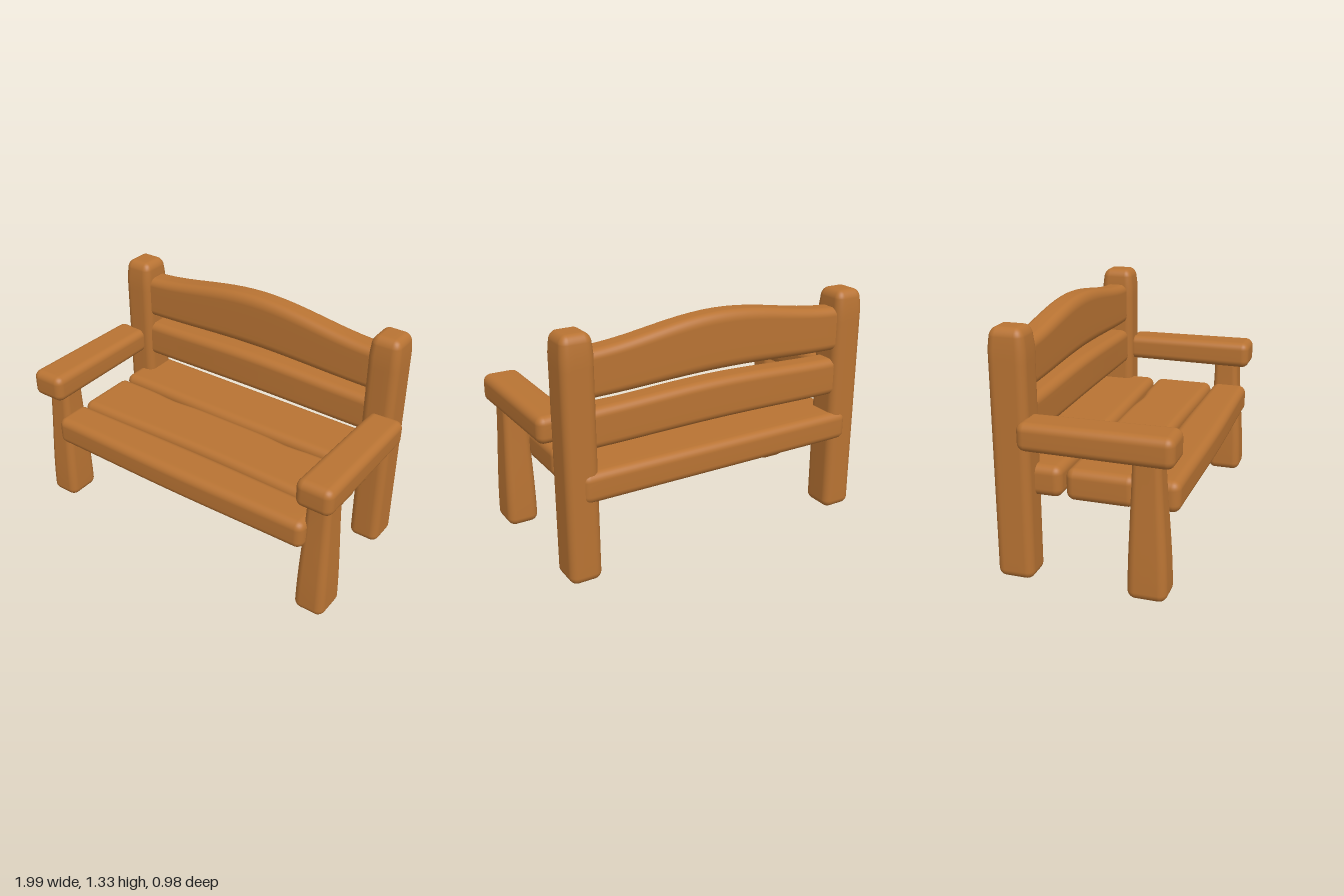
import * as THREE from 'three';
import { mergeVertices } from 'three/addons/utils/BufferGeometryUtils.js';

const wood = new THREE.MeshStandardMaterial({ color: 0xb87333 });
wood.name = 'warm wood';

// Grid position -> coordinate: dense in the rounded rims, even along the middle
function spread(t, n, half, r) {
  const k = 4, i = Math.round((t + 0.5) * n), inner = half - r;
  if (i <= k) return -inner - r * Math.tan((1 - i / k) * Math.PI / 4);
  if (i >= n - k) return inner + r * Math.tan((1 - (n - i) / k) * Math.PI / 4);
  return -inner + 2 * inner * (i - k) / (n - 2 * k);
}

// Softly rounded block between two corners, optionally reshaped by a rule on each point
function block(name, min, max, r, bend) {
  const lo = new THREE.Vector3(...min), hi = new THREE.Vector3(...max);
  const half = hi.clone().sub(lo).multiplyScalar(0.5);
  const mid = hi.clone().add(lo).multiplyScalar(0.5);
  const n = half.toArray().map((h) => 8 + Math.max(2, Math.round(h * 28)));
  let geo = new THREE.BoxGeometry(1, 1, 1, ...n);
  geo.deleteAttribute('uv');
  geo.deleteAttribute('normal');
  const pos = geo.attributes.position;
  const p = new THREE.Vector3(), core = new THREE.Vector3();
  const inner = half.clone().subScalar(r), outer = inner.clone().negate();
  for (let i = 0; i < pos.count; i++) {
    p.fromBufferAttribute(pos, i);
    p.set(spread(p.x, n[0], half.x, r), spread(p.y, n[1], half.y, r), spread(p.z, n[2], half.z, r));
    core.copy(p).clamp(outer, inner);
    p.sub(core).setLength(r).add(core);
    // bend receives the point and its relative place (-1..1) inside the block
    const rel = p.clone().divide(half);
    p.add(mid);
    if (bend) bend(p, rel, mid);
    pos.setXYZ(i, p.x, p.y, p.z);
  }
  geo = mergeVertices(geo, 1e-5);
  geo.computeVertexNormals();
  const mesh = new THREE.Mesh(geo, wood);
  mesh.name = name;
  return mesh;
}

// Smooth hump: 1 at the middle, 0 at the ends
const hump = (u) => 0.5 + 0.5 * Math.cos(Math.PI * u);

export function createModel() {
  const bench = new THREE.Group();
  bench.name = 'bench';

  for (const [side, s] of [['left', 1], ['right', -1]]) {
    const span = (a, b) => (s > 0 ? [a, b] : [-b, -a]);

    // Tall back post with a domed top
    const [px0, px1] = span(0.74, 0.92);
    bench.add(block(side + 'BackPost', [px0, 0, -0.475], [px1, 1.33, -0.275], 0.045, (p, r, m) => {
      const t = THREE.MathUtils.smoothstep(p.y, 1.22, 1.34);
      p.x = m.x + (p.x - m.x) * (1 - 0.1 * t);
      p.z = m.z + (p.z - m.z) * (1 - 0.14 * t);
    }));

    // Front leg, narrowing upwards
    const [lx0, lx1] = span(0.797, 0.975);
    bench.add(block(side + 'FrontLeg', [lx0, 0.022, 0.245], [lx1, 0.82, 0.45], 0.045, (p, r, m) => {
      const t = THREE.MathUtils.smoothstep(p.y, 0.05, 0.85);
      p.x = m.x + (p.x - m.x) * (1 - 0.24 * t);
      p.z = m.z + (p.z - m.z) * (1 - 0.3 * t) - 0.008 * t;
    }));

    // Armrest, slightly thinner towards the back
    const [ax0, ax1] = span(0.785, 0.995);
    bench.add(block(side + 'Armrest', [ax0, 0.733, -0.31], [ax1, 0.893, 0.487], 0.045, (p, r, m) => {
      const t = 0.5 - 0.5 * r.z;
      p.y = m.y + (p.y - m.y) * (1 - 0.08 * t);
      p.x = m.x + (p.x - m.x) * (1 - 0.05 * t);
    }));
  }

  // Seat planks with gently uneven edges
  const seat = new THREE.Group();
  seat.name = 'seat';
  seat.add(
    block('frontSeatPlank', [-0.84, 0.447, 0.26], [0.84, 0.613, 0.478], 0.045, (p, r) => {
      p.z += 0.01 * hump(r.x) * r.z;
    }),
    block('middleSeatPlank', [-0.84, 0.443, -0.118], [0.84, 0.613, 0.25], 0.045, (p, r) => {
      if (r.z > 0) p.z -= 0.015 * hump(r.x) * r.z;
      else p.z -= 0.016 * Math.exp(-(((Math.abs(r.x) - 0.48) / 0.13) ** 2)) * r.z;
    }),
    block('backSeatPlank', [-0.84, 0.447, -0.488], [0.84, 0.615, -0.138], 0.045, (p, r) => {
      if (r.z > 0) p.z += 0.01 * hump(r.x) * r.z;
    }),
  );
  bench.add(seat);

  // Back slats, the upper one crowned in the middle
  const back = new THREE.Group();
  back.name = 'backrest';
  back.add(
    block('lowerBackSlat', [-0.8, 0.722, -0.455], [0.8, 0.938, -0.3], 0.045, (p, r) => {
      p.y += hump(r.x) * (r.y > 0 ? 0.022 : 0.01);
      p.z += 0.008 * hump(r.x) * Math.max(r.z, 0);
    }),
    block('upperBackSlat', [-0.8, 0.988, -0.455], [0.8, 1.235, -0.305], 0.045, (p, r) => {
      p.y += hump(r.x) * (0.022 + 0.064 * (0.5 + 0.5 * r.y));
    }),
  );
  bench.add(back);

  return bench;
}
